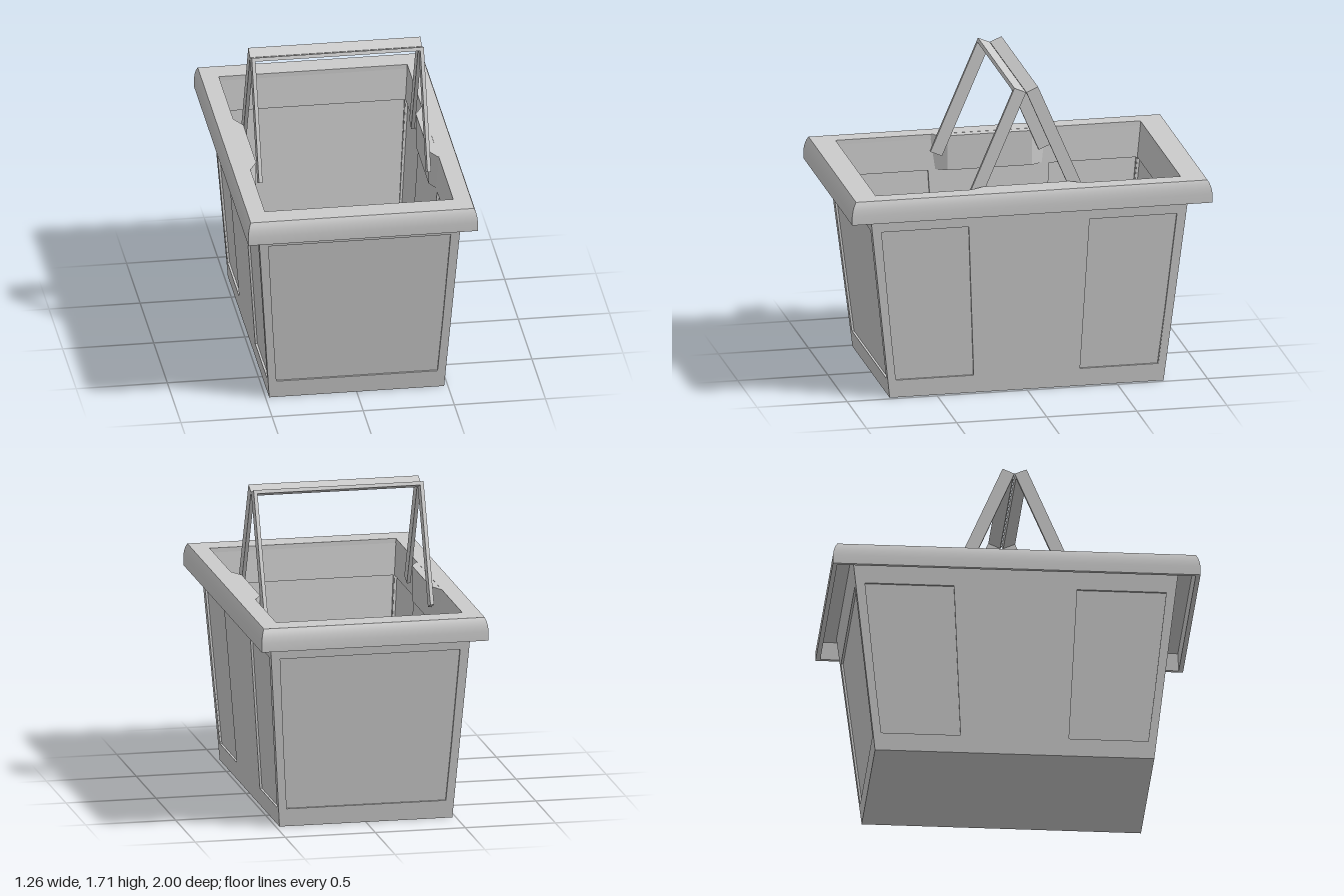
import * as THREE from 'three';
import { toCreasedNormals } from 'three/addons/utils/BufferGeometryUtils.js';

const material = new THREE.MeshStandardMaterial({ color: 0xcccccc, side: THREE.DoubleSide });
const HX = 0.48, HZ = 0.76;             // outer half sizes at the base
const SLOPE_X = 0.072, SLOPE_Z = 0.115; // outward lean of the walls
const WALL = 0.045, WALL_TOP = 1.15;

function add(parent, name, geometry) {
  const mesh = new THREE.Mesh(geometry, material);
  mesh.name = name;
  parent.add(mesh);
  return mesh;
}

const points = (list) => list.map(([x, y]) => new THREE.Vector2(x, y));

// Extruded sheet whose outer face starts at "offset" and leans outward with height
function leaningSheet(shape, thickness, offset, slope) {
  const g = new THREE.ExtrudeGeometry(shape, { depth: thickness, bevelEnabled: false });
  const p = g.attributes.position;
  for (let i = 0; i < p.count; i++) {
    p.setZ(i, p.getZ(i) - thickness + offset + slope * p.getY(i));
  }
  g.computeVertexNormals();
  return g;
}

// Wall frame with thin panels set back on both faces
function makeWall(name, halfWidth, edgeSlope, offset, slope, panels) {
  const wall = new THREE.Group();
  wall.name = name;
  const top = halfWidth + edgeSlope * WALL_TOP;
  const frame = new THREE.Shape(points([[-halfWidth, 0], [halfWidth, 0], [top, WALL_TOP], [-top, WALL_TOP]]));
  for (const corners of panels) {
    frame.holes.push(new THREE.Path(points(corners)));
    add(wall, 'recessedPanel', leaningSheet(new THREE.Shape(points(corners)), 0.02, offset - 0.012, slope));
  }
  add(wall, 'wallFrame', leaningSheet(frame, WALL, offset, slope));
  return wall;
}

// Surface through a stack of rectangles [halfX, halfZ, y]
function rectangleLoft(rings) {
  const pos = [];
  const corner = ([x, z, y], k) => [[x, y, z], [x, y, -z], [-x, y, -z], [-x, y, z]][k % 4];
  for (let i = 0; i < rings.length - 1; i++) {
    for (let k = 0; k < 4; k++) {
      const a = corner(rings[i], k), b = corner(rings[i], k + 1);
      const c = corner(rings[i + 1], k + 1), d = corner(rings[i + 1], k);
      pos.push(...a, ...c, ...b, ...a, ...d, ...c);
    }
  }
  const g = new THREE.BufferGeometry();
  g.setAttribute('position', new THREE.Float32BufferAttribute(pos, 3));
  return toCreasedNormals(g, 0.6);
}

export function createModel() {
  const basket = new THREE.Group();
  basket.name = 'basket';

  // Floor
  add(basket, 'floor', new THREE.BoxGeometry(2 * HX - 0.01, 0.04, 2 * HZ - 0.01)).position.y = 0.02;

  // End walls with one panel each, side walls with two
  const endPanel = [[-0.445, 0.1], [0.445, 0.1], [0.5, 0.965], [-0.5, 0.965]];
  const sidePanel = [[0.295, 0.1], [0.73, 0.1], [0.82, 0.965], [0.335, 0.965]];
  const sidePanels = [sidePanel, sidePanel.map(([x, y]) => [-x, y]).reverse()];
  for (const s of [1, -1]) {
    const end = makeWall(s > 0 ? 'frontWall' : 'backWall', HX - 0.004, SLOPE_X, HZ, SLOPE_Z, [endPanel]);
    end.rotation.y = s > 0 ? 0 : Math.PI;
    const side = makeWall(s > 0 ? 'leftWall' : 'rightWall', HZ, SLOPE_Z, HX, SLOPE_X, sidePanels);
    side.rotation.y = s * Math.PI / 2;
    basket.add(end, side);
  }

  // Hollow rim: flat top, rounded shoulder, overhanging lip
  add(basket, 'rim', rectangleLoft([
    [0.56, 0.89, 1.14], [0.605, 0.97, 1.14], [0.61, 0.975, 1.04], [0.63, 1.0, 1.04],
    [0.63, 1.0, 1.09], [0.627, 0.995, 1.12], [0.621, 0.986, 1.147], [0.613, 0.975, 1.165],
    [0.517, 0.846, 1.165], [0.516, 0.845, 1.14],
  ]));

  // Handle mounts thickening the middle of each side wall
  const mountShape = new THREE.Shape(points([[-0.33, 0], [0.33, 0], [0.235, 0.05], [-0.235, 0.05]]));
  for (const s of [1, -1]) {
    const g = new THREE.ExtrudeGeometry(mountShape, { depth: 0.195, bevelEnabled: false });
    g.rotateX(-Math.PI / 2);
    const mount = add(basket, 'handleMount', g);
    mount.rotation.y = s * Math.PI / 2;
    mount.position.set(s * 0.523, 0.969, 0);
  }

  // Two flat U-shaped handles leaning against each other
  const outer = 0.472, inner = 0.452, leg = 0.68, bar = 0.02;
  const handleShape = new THREE.Shape(points([
    [-outer, -leg], [-inner, -leg], [-inner, -bar], [inner, -bar],
    [inner, -leg], [outer, -leg], [outer, 0], [-outer, 0],
  ]));
  for (const s of [1, -1]) {
    const g = new THREE.ExtrudeGeometry(handleShape, { depth: 0.07, bevelEnabled: false });
    g.translate(0, 0, -0.035);
    const handle = add(basket, s > 0 ? 'frontHandle' : 'backHandle', g);
    handle.rotation.x = -s * 0.405;
    handle.position.set(0, 1.697, s * 0.033);
  }
  return basket;
}
